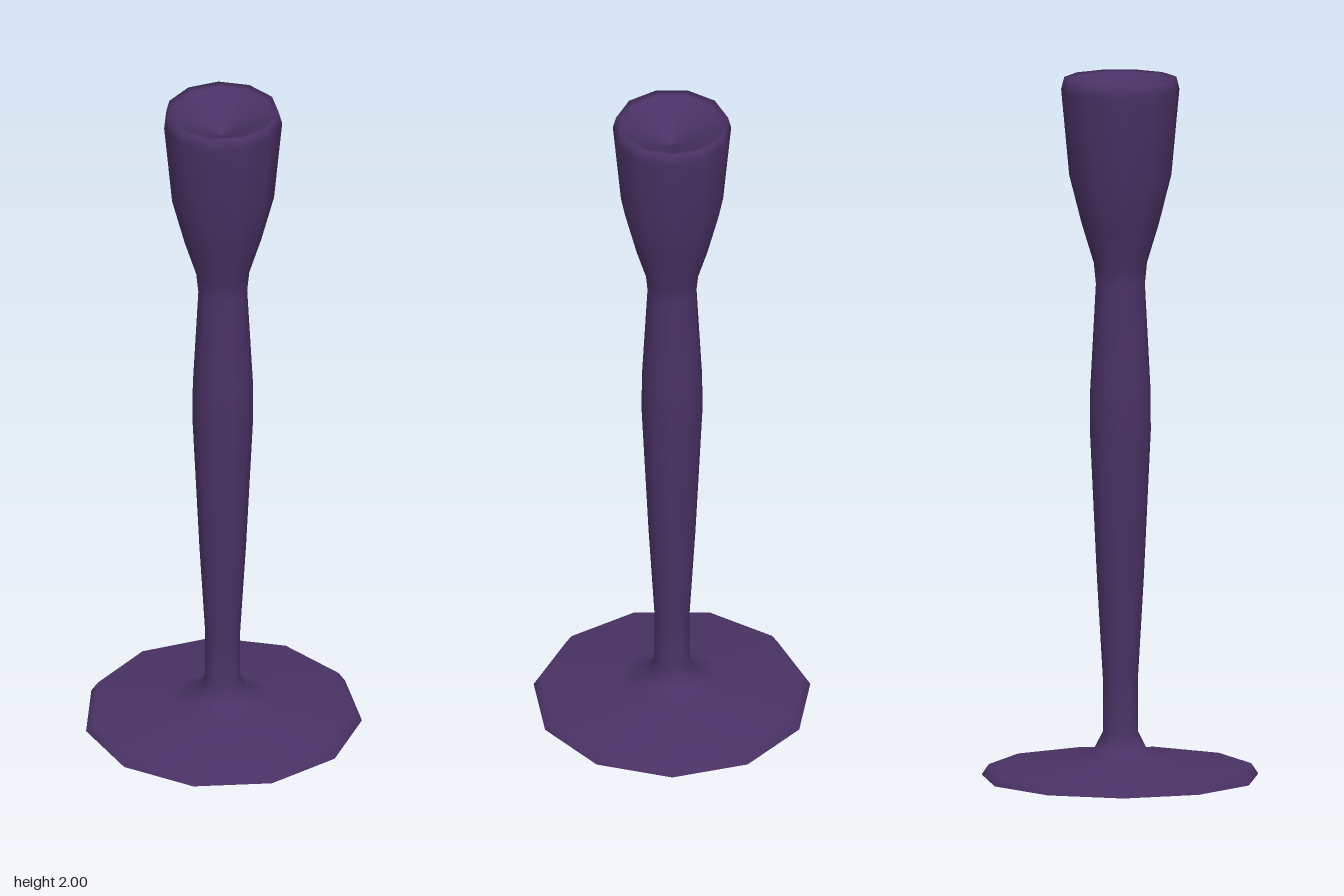
import * as THREE from 'three';

const SIDES = 11;

// Turned surface with a corner pointing to the back
function turned(name, profile, material) {
  const points = profile.map(([r, y]) => new THREE.Vector2(r, y));
  const mesh = new THREE.Mesh(new THREE.LatheGeometry(points, SIDES, Math.PI), material);
  mesh.name = name;
  return mesh;
}

export function createModel() {
  const purple = new THREE.MeshStandardMaterial({ color: 0x4a3265 });
  purple.name = 'dark purple';

  const group = new THREE.Group();
  group.name = 'candlestick';

  // Flat underside of the foot
  group.add(turned('underside', [[0, 0], [0.395, 0]], purple));

  // Foot, swelling stem, flared cup and shallow hollow in one smooth sweep
  group.add(turned('body', [
    [0.395, 0], [0.375, 0.03], [0.153, 0.048], [0.077, 0.077], [0.05, 0.13],
    [0.05, 0.28], [0.067, 0.57], [0.087, 0.99], [0.086, 1.11], [0.07, 1.41],
    [0.076, 1.47], [0.11, 1.58], [0.146, 1.72], [0.169, 1.965],
    [0.16, 2], [0.141, 1.995], [0, 1.92],
  ], purple));

  // Eleven sides are lopsided front to back, so the axis sits slightly forward
  group.children.forEach((part) => { part.position.z = 0.008; });
  return group;
}
